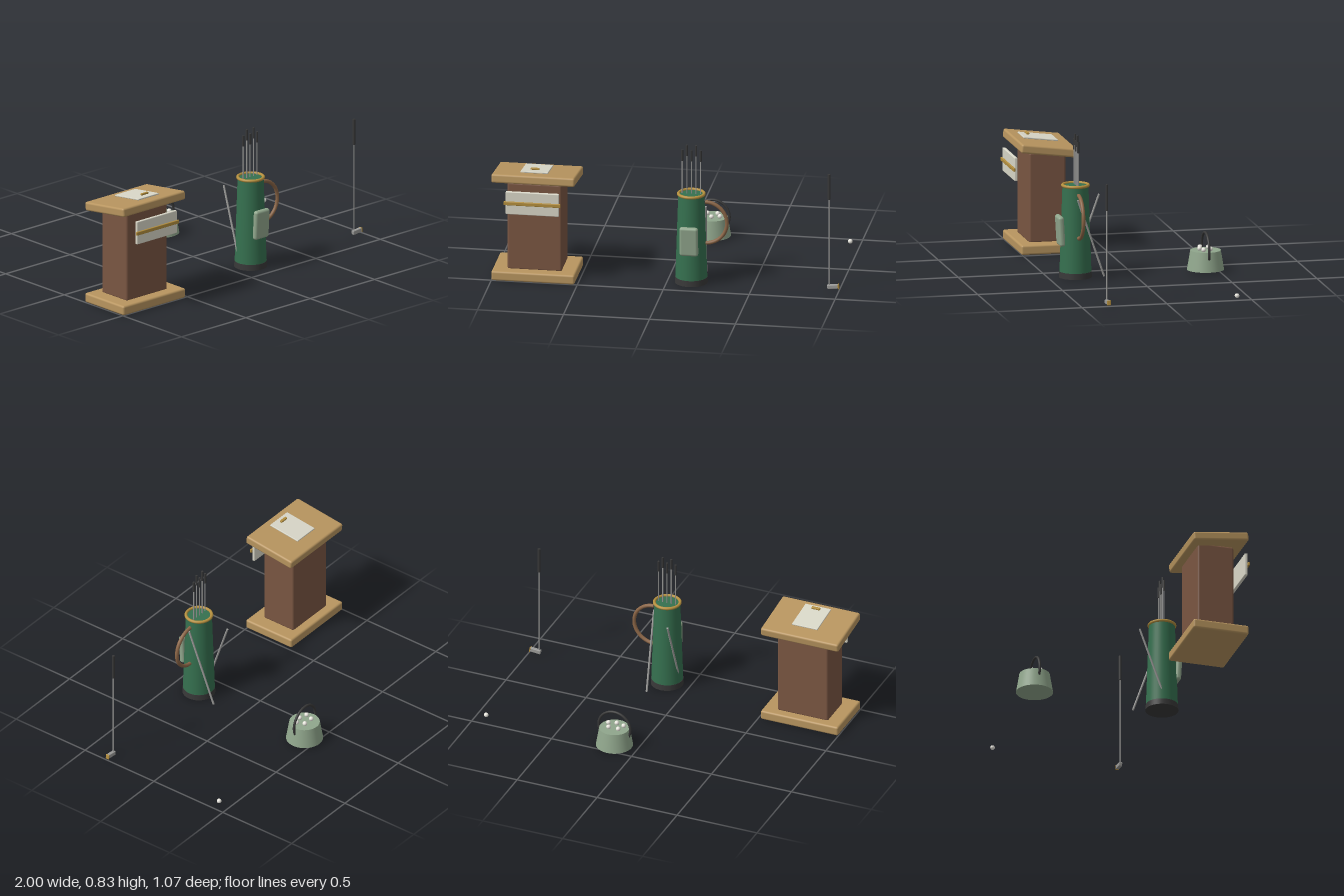
import * as THREE from 'three';
import { RoundedBoxGeometry } from 'three/addons/geometries/RoundedBoxGeometry.js';

const mat = (color) => new THREE.MeshStandardMaterial({ color });
const M = {
  wood: mat(0xb8955f), brown: mat(0x7a5642), green: mat(0x35704f), dark: mat(0x383838),
  gold: mat(0xb48f3e), cream: mat(0xd9d7c8), sage: mat(0x90a68c), strap: mat(0x8a6546),
  steel: mat(0x9a9a98), white: mat(0xe8e6de),
};

function add(parent, name, geometry, material, [x, y, z], [rx, ry, rz] = [0, 0, 0]) {
  const mesh = new THREE.Mesh(geometry, material);
  mesh.name = name;
  mesh.position.set(x, y, z);
  mesh.rotation.set(rx, ry, rz);
  parent.add(mesh);
  return mesh;
}

const box = (w, h, d, r) => new RoundedBoxGeometry(w, h, d, 3, r);

function group(parent, name) {
  const g = new THREE.Group();
  g.name = name;
  parent.add(g);
  return g;
}

// Straight rod between two points
function rod(parent, name, a, b, radius, material) {
  const from = new THREE.Vector3(...a), to = new THREE.Vector3(...b);
  const dir = to.clone().sub(from);
  const mesh = add(parent, name, new THREE.CylinderGeometry(radius, radius, dir.length(), 12),
    material, from.clone().add(to).multiplyScalar(0.5).toArray());
  mesh.quaternion.setFromUnitVectors(new THREE.Vector3(0, 1, 0), dir.normalize());
}

function buildPodium(root) {
  const g = group(root, 'podium');
  const x = -0.758, tilt = -0.125;
  add(g, 'podiumBase', box(0.485, 0.057, 0.333, 0.012), M.wood, [x, 0.0315, 0.34]);
  add(g, 'podiumBody', box(0.316, 0.53, 0.216, 0.012), M.brown, [x, 0.319, 0.333]);
  add(g, 'podiumTop', box(0.485, 0.052, 0.333, 0.012), M.wood, [x, 0.606, 0.34], [tilt, 0, 0]);
  // Card and clip lying on the sloping top
  add(g, 'scoreCard', box(0.16, 0.009, 0.203, 0.003), M.cream, [x, 0.646, 0.354], [tilt, 0, 0]);
  add(g, 'cardClip', box(0.052, 0.011, 0.016, 0.003), M.gold, [x, 0.669, 0.418], [tilt, 0, 0]);
  // Sign in front of the podium
  add(g, 'signPanel', box(0.31, 0.138, 0.018, 0.005), M.cream, [x, 0.49, 0.518]);
  add(g, 'signTrim', box(0.33, 0.022, 0.012, 0.004), M.gold, [x, 0.49, 0.53]);
}

function buildBag(root) {
  const g = group(root, 'golfBag');
  const x = 0.138, z = 0.34;
  add(g, 'bagBody', new THREE.CylinderGeometry(0.075, 0.093, 0.53, 40), M.green, [x, 0.275, z]);
  add(g, 'bagFoot', new THREE.CylinderGeometry(0.093, 0.095, 0.035, 40), M.dark, [x, 0.0205, z]);
  add(g, 'bagRim', new THREE.TorusGeometry(0.074, 0.009, 12, 40), M.gold, [x, 0.541, z], [Math.PI / 2, 0, 0]);
  add(g, 'bagPocket', box(0.108, 0.176, 0.034, 0.015), M.sage, [x, 0.279, 0.43], [0.06, 0, 0]);
  add(g, 'carryStrap', new THREE.TorusGeometry(0.125, 0.011, 12, 32, Math.PI), M.strap,
    [0.22, 0.37, z], [0, 0, -Math.PI / 2]);
  // Stand legs, leaning opposite ways
  rod(g, 'standLegLeft', [0.223, 0.468, 0.345], [0.2, 0.012, 0.185], 0.006, M.steel);
  rod(g, 'standLegRight', [0.07, 0.468, 0.185], [0.055, 0.012, 0.345], 0.006, M.steel);
  // Clubs standing in the bag, alternating in height
  for (let i = 0; i < 5; i++) {
    const cx = 0.138 + (i - 2) * 0.0268;
    const top = i % 2 ? 0.835 : 0.804;
    rod(g, 'clubShaft', [cx, 0.5, 0.336], [cx, top - 0.06, 0.336], 0.0033, M.steel);
    rod(g, 'clubGrip', [cx, top - 0.065, 0.336], [cx, top, 0.336], 0.0065, M.dark);
  }
}

function buildPutter(root) {
  const g = group(root, 'putter');
  const x = 0.94, z = 0.341;
  rod(g, 'putterShaft', [x, 0.025, z], [x, 0.56, z], 0.004, M.steel);
  rod(g, 'putterGrip', [x, 0.553, z], [x, 0.706, z], 0.0085, M.dark);
  add(g, 'putterHead', box(0.064, 0.025, 0.021, 0.004), M.steel, [0.961, 0.021, z], [0, 0, 0.1]);
  add(g, 'putterHeadEnd', box(0.007, 0.029, 0.023, 0.003), M.gold, [0.994, 0.023, z], [0, 0, 0.1]);
}

function buildBucket(root) {
  const g = group(root, 'ballBucket');
  const x = 0.138, z = -0.427;
  add(g, 'bucketBody', new THREE.CylinderGeometry(0.088, 0.107, 0.113, 40), M.sage, [x, 0.068, z]);
  // Hoop handle, its ends sunk into the sides
  const arc = Math.PI + 1.2;
  add(g, 'bucketHandle', new THREE.TorusGeometry(0.099, 0.0075, 12, 40, arc), M.dark,
    [x, 0.127, z], [0, 0, -0.6]);
  const spots = [[0.105, -0.45], [0.165, -0.45], [0.09, -0.405], [0.138, -0.392], [0.185, -0.405]];
  for (const [bx, bz] of spots) {
    add(g, 'ball', new THREE.SphereGeometry(0.0135, 20, 14), M.white, [bx, 0.135, bz]);
  }
}

export function createModel() {
  const root = new THREE.Group();
  root.name = 'golfStarterSet';
  buildPodium(root);
  buildBag(root);
  buildPutter(root);
  buildBucket(root);
  add(root, 'looseBall', new THREE.SphereGeometry(0.0135, 20, 14), M.white, [0.94, 0.018, -0.427]);
  return root;
}
